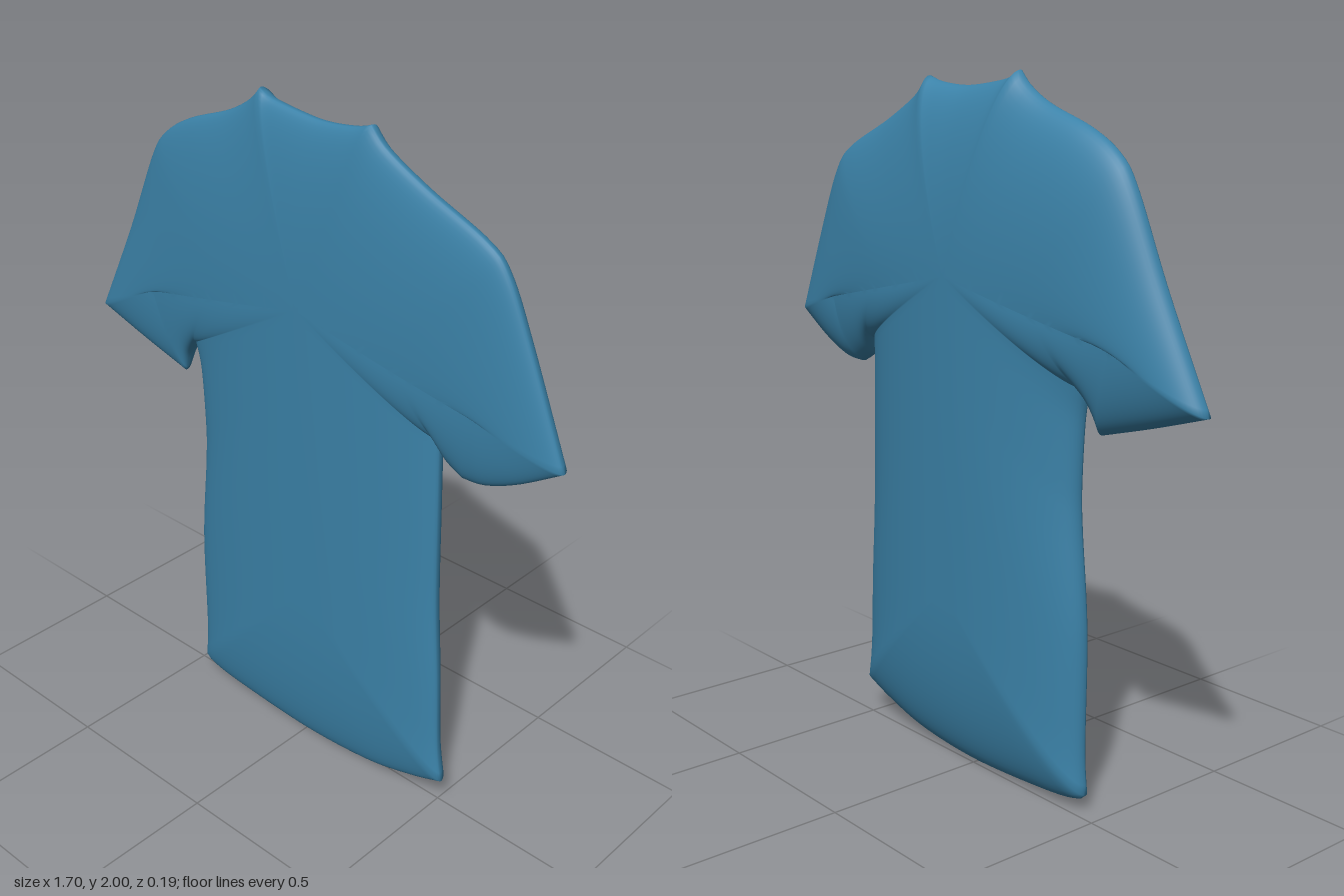
import * as THREE from 'three';
import { mergeVertices } from 'three/addons/utils/BufferGeometryUtils.js';

const V = (x, y) => new THREE.Vector2(x, y);
const SEAM_Z = 0.027, FRONT = 0.064, BACK = 0.122, RINGS = 20;

// Inner skeleton: a spine up to the chest, and one line into each sleeve
const belly = V(0.03, 0.55), chest = V(0.02, 1.45);
const leftArm = V(0.6, 1.33), rightArm = V(-0.58, 1.32);
const leftPit = chest.clone().lerp(leftArm, 0.6);
const rightPit = chest.clone().lerp(rightArm, 0.6);

// Outline, counter-clockwise: [points, skeleton start, skeleton end, steps]
const sections = [
  // hem
  [[[-0.45, 0.055], [-0.42, 0.035], [-0.3, 0.016], [0, 0], [0.25, 0.018], [0.42, 0.06], [0.53, 0.1]], belly, belly, 40],
  // left side
  [[[0.53, 0.1], [0.512, 0.22], [0.5, 0.45], [0.483, 0.7], [0.475, 1], [0.47, 1.21]], belly, chest, 40],
  // left armpit
  [[[0.47, 1.21]], chest, leftPit, 16],
  [[[0.47, 1.21], [0.5, 1.16], [0.55, 1.13]], leftPit, leftArm, 12],
  // left cuff
  [[[0.55, 1.13], [0.62, 1.137], [0.72, 1.18], [0.85, 1.26]], leftArm, leftArm, 24],
  // left sleeve and shoulder
  [[[0.85, 1.26], [0.73, 1.55], [0.65, 1.72], [0.58, 1.785], [0.4, 1.865], [0.27, 1.935], [0.22, 1.985]], leftArm, chest, 48],
  // neckline
  [[[0.22, 1.985], [0.17, 1.97], [0.08, 1.96], [0, 1.963], [-0.12, 1.98], [-0.16, 2]], chest, chest, 24],
  // right shoulder and sleeve
  [[[-0.16, 2], [-0.2, 1.96], [-0.28, 1.915], [-0.43, 1.86], [-0.53, 1.8], [-0.59, 1.72], [-0.7, 1.48], [-0.85, 1.185]], chest, rightArm, 48],
  // right cuff
  [[[-0.85, 1.185], [-0.67, 1.13], [-0.49, 1.08]], rightArm, rightArm, 24],
  // right armpit
  [[[-0.49, 1.08], [-0.475, 1.14], [-0.44, 1.19]], rightArm, rightPit, 12],
  [[[-0.44, 1.19]], rightPit, chest, 16],
  // right side
  [[[-0.44, 1.19], [-0.42, 1.11], [-0.41, 0.92], [-0.415, 0.8], [-0.44, 0.52], [-0.44, 0.18], [-0.45, 0.055]], chest, belly, 40],
];

// Pairs of rim point and the skeleton point it rises towards
function ribs() {
  const list = [];
  for (const [pts, from, to, steps] of sections) {
    const points = pts.map(([x, y]) => V(x, y));
    const curve = points.length > 1 ? new THREE.SplineCurve(points) : null;
    for (let i = 0; i < steps; i++) {
      const t = i / steps;
      list.push([curve ? curve.getPointAt(t) : points[0], from.clone().lerp(to, t)]);
    }
  }
  return list;
}

// Fullness along the skeleton: greatest at the chest, thinner to sleeves and hem
function fullness(p) {
  return 1 - 0.38 * ((p.x - chest.x) / 0.6) ** 2 - 0.06 * ((chest.y - p.y) / 0.9) ** 2;
}

// One padded half of the shirt, with elliptical ribs rising from the seam
function panel(depth, side, positions, index) {
  const list = ribs(), base = positions.length / 3, row = RINGS + 1;
  for (const [rim, core] of list) {
    for (let j = 0; j <= RINGS; j++) {
      const a = (j / RINGS) * Math.PI / 2;
      const p = core.clone().lerp(rim, Math.cos(a));
      positions.push(p.x, p.y, SEAM_Z + side * depth * fullness(core) * Math.sin(a));
    }
  }
  for (let i = 0; i < list.length; i++) {
    const n = (i + 1) % list.length;
    for (let j = 0; j < RINGS; j++) {
      const a = base + i * row + j, b = base + n * row + j;
      if (side > 0) index.push(a, b, b + 1, a, b + 1, a + 1);
      else index.push(a, b + 1, b, a, a + 1, b + 1);
    }
  }
}

export function createModel() {
  const group = new THREE.Group();
  group.name = 'tShirt';
  const positions = [], index = [];
  panel(FRONT, 1, positions, index);
  panel(BACK, -1, positions, index);

  let geometry = new THREE.BufferGeometry();
  geometry.setAttribute('position', new THREE.Float32BufferAttribute(positions, 3));
  geometry.setIndex(index);
  geometry = mergeVertices(geometry, 1e-5);
  geometry.computeVertexNormals();

  const blueCloth = new THREE.MeshStandardMaterial({ color: 0x3b82a8 });
  blueCloth.name = 'blueCloth';
  const shirt = new THREE.Mesh(geometry, blueCloth);
  shirt.name = 'shirtBody';
  group.add(shirt);
  return group;
}
